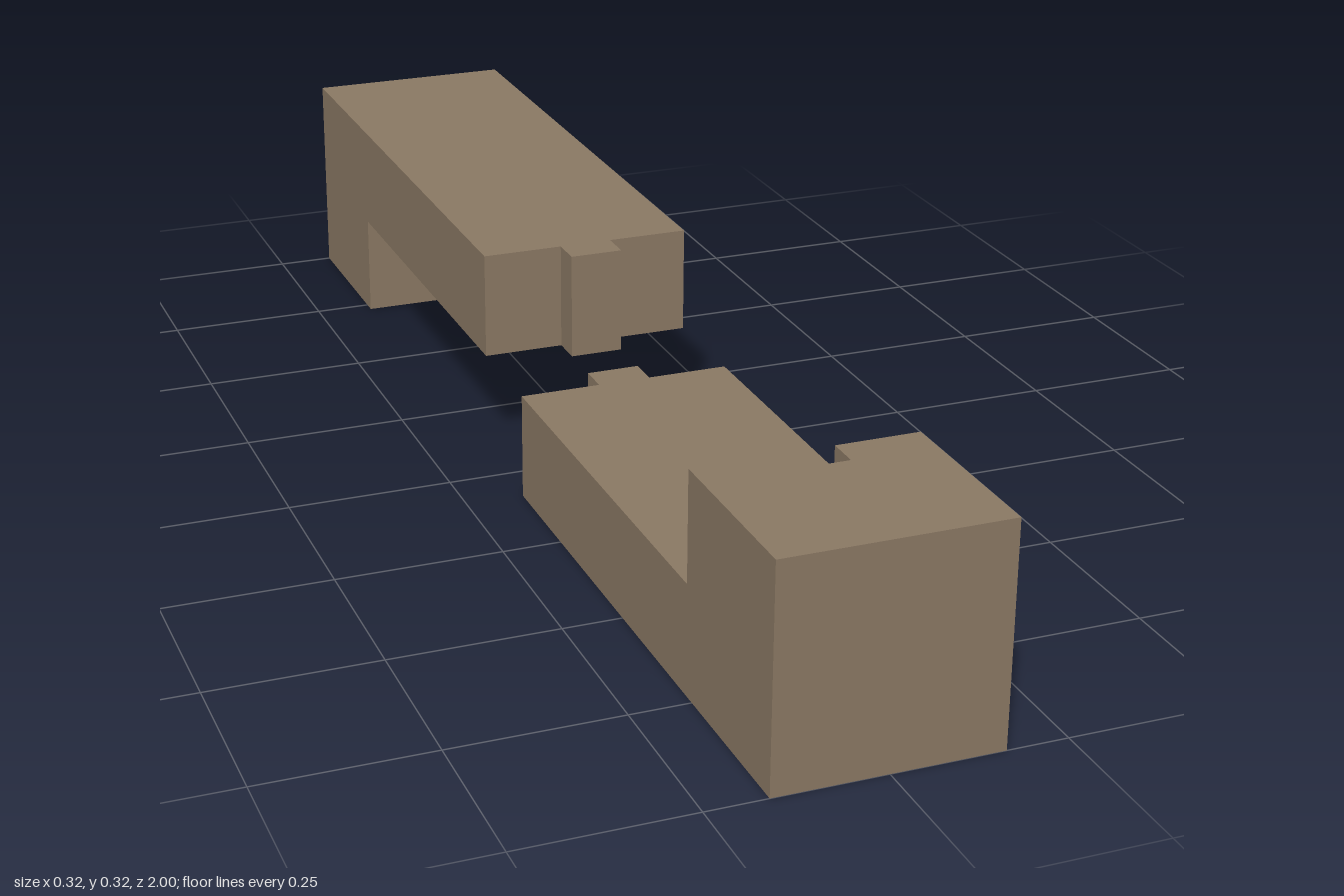
import * as THREE from 'three';

const W = 0.162;      // half width of the beam
const H = 0.324;      // full height
const T = 0.04;       // half width of tongue and slot
const END = 1;        // outer end of each beam
const TIP = 0.035, SHOULDER = 0.083;   // tongue at the free end
const FACE = 0.729, SLOT = 0.777;      // slotted face of the raised head

const wood = new THREE.MeshStandardMaterial({ color: 0x8b7964 });
wood.name = 'wood';

// Extrude a plan outline of [x, z] points upward from y0 to y1
function slab(name, outline, y0, y1) {
  const shape = new THREE.Shape(outline.map(([x, z]) => new THREE.Vector2(x, z)));
  const geometry = new THREE.ExtrudeGeometry(shape, { depth: y1 - y0, bevelEnabled: false });
  geometry.rotateX(Math.PI / 2).translate(0, y1, 0);
  const mesh = new THREE.Mesh(geometry, wood);
  mesh.name = name;
  return mesh;
}

// Plan outline whose inner edge steps from 'edge' to 'step' across the middle
function steppedPlan(edge, step) {
  return [
    [-W, edge], [-T, edge], [-T, step], [T, step],
    [T, edge], [W, edge], [W, END], [-W, END],
  ];
}

// One half of the lap joint: thin lap with a tongue, tall head with a slot
function jointHalf(name) {
  const half = new THREE.Group();
  half.name = name;
  half.add(slab('lapWithTongue', steppedPlan(SHOULDER, TIP), 0, H / 2));
  half.add(slab('slottedHead', steppedPlan(FACE, SLOT), H / 2, H));
  return half;
}

export function createModel() {
  const model = new THREE.Group();
  model.name = 'lapJoint';
  model.add(jointHalf('frontBeam'));

  // The rear half is the same piece turned over end for end
  const rear = jointHalf('rearBeam');
  rear.rotation.x = Math.PI;
  rear.position.y = H;
  model.add(rear);
  return model;
}
